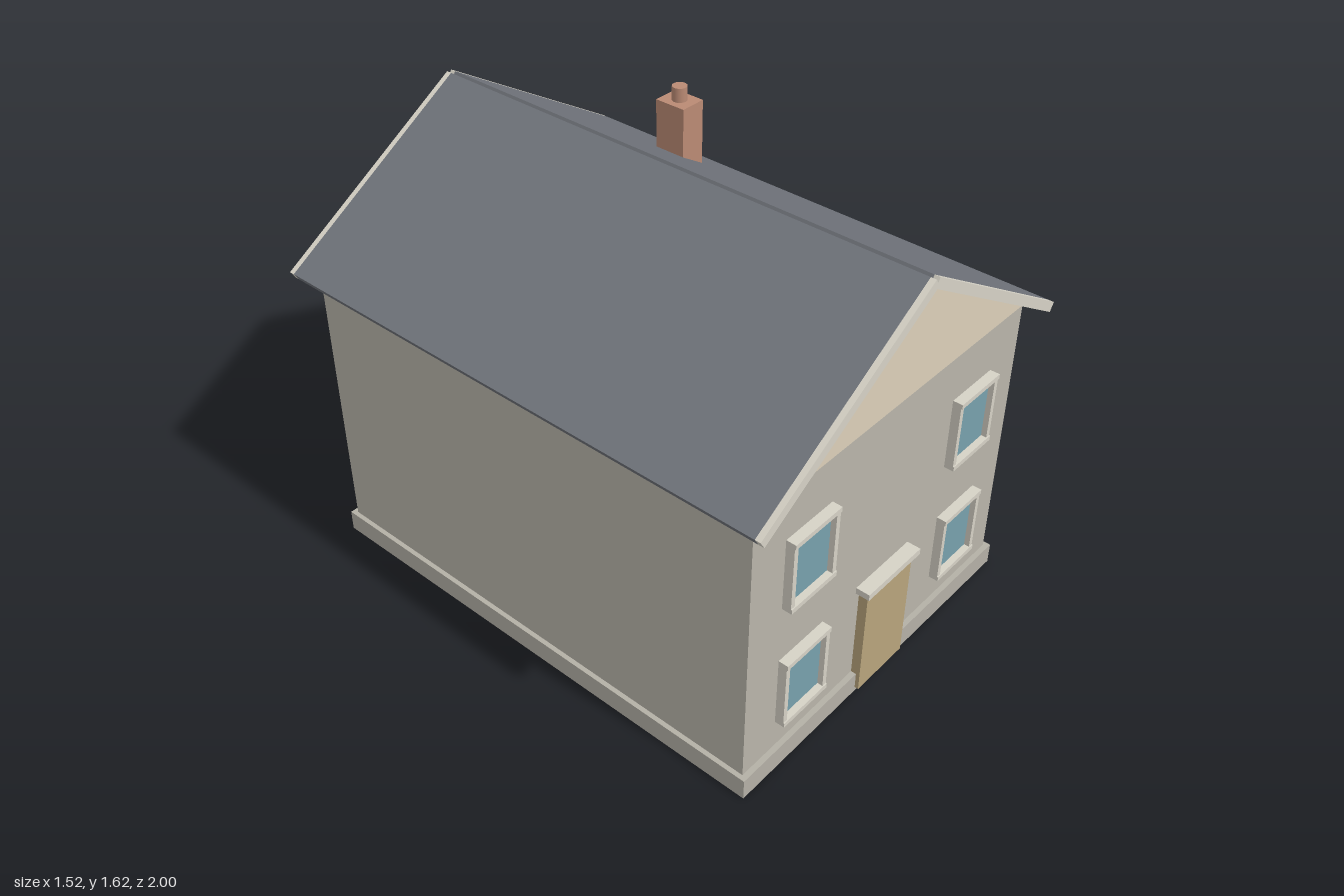
import * as THREE from 'three';

const mat = (color) => new THREE.MeshStandardMaterial({ color, flatShading: true });
const M = {
  wall: mat(0xb9b5aa), gable: mat(0xdccfb9), plinth: mat(0xb4b0a6), trim: mat(0xd6d2c6),
  glass: mat(0x78a0ac), door: mat(0xb8a47c), roof: mat(0x70747b), brick: mat(0xba8a74),
};

// Box given by its lower and upper corners
function box(name, material, [x0, y0, z0], [x1, y1, z1]) {
  const mesh = new THREE.Mesh(new THREE.BoxGeometry(x1 - x0, y1 - y0, z1 - z0), material);
  mesh.position.set((x0 + x1) / 2, (y0 + y1) / 2, (z0 + z1) / 2);
  mesh.name = name;
  return mesh;
}

// Outline in x,y drawn out between two z values
function prism(name, material, points, z0, z1) {
  const shape = new THREE.Shape(points.map(([x, y]) => new THREE.Vector2(x, y)));
  const geo = new THREE.ExtrudeGeometry(shape, { depth: z1 - z0, bevelEnabled: false });
  geo.translate(0, 0, z0);
  const mesh = new THREE.Mesh(geo, material);
  mesh.name = name;
  return mesh;
}

// Window centred on its origin, its back on z = 0, facing +z
function makeWindow(w, h, depth) {
  const g = new THREE.Group();
  const bar = 0.018, x = w / 2, y = h / 2;
  g.name = 'window';
  g.add(
    box('windowHead', M.trim, [-x, y - bar, -0.005], [x, y, depth]),
    box('windowSill', M.trim, [-x, -y, -0.005], [x, -y + bar, depth]),
    box('windowGlass', M.glass, [-x + bar, -y + bar, -0.005], [x - bar, y - bar, 0.012]),
  );
  for (const s of [-1, 1]) {
    const jamb = box('windowJamb', M.trim, [-bar / 2, -y + bar, -0.005], [bar / 2, y - bar, depth - 0.004]);
    jamb.position.x = s * (x - bar / 2);
    g.add(jamb);
  }
  return g;
}

// Four windows and a door for one gable end
function makeFacade(name) {
  const g = new THREE.Group();
  g.name = name;
  for (const x of [-0.43, 0.43]) {
    for (const y of [0.328, 0.82]) {
      const win = makeWindow(0.22, 0.272, 0.036);
      win.position.set(x, y, 0.925);
      g.add(win);
    }
  }
  g.add(
    box('door', M.door, [-0.123, 0.017, 0.9], [0.123, 0.453, 0.959]),
    box('doorLintel', M.trim, [-0.143, 0.453, 0.92], [0.143, 0.477, 0.976]),
  );
  return g;
}

export function createModel() {
  const house = new THREE.Group();
  house.name = 'house';

  // Body
  house.add(
    box('plinth', M.plinth, [-0.712, 0, -0.945], [0.712, 0.08, 0.945]),
    box('walls', M.wall, [-0.695, 0.04, -0.925], [0.695, 1.13, 0.925]),
    prism('gable', M.gable, [[-0.695, 1.13], [0.695, 1.13], [0, 1.57]], -0.925, 0.925),
  );

  // Two roof slabs meeting in a small notch, with verge boards at both ends
  for (const s of [-1, 1]) {
    const slope = [[-0.009, 1.573], [0.743, 1.113], [0.761, 1.143], [0.009, 1.603]];
    const outline = slope.map(([x, y]) => [s * x, y]);
    house.add(
      prism('roofSlope', M.roof, outline, -0.98, 0.98),
      prism('frontVergeBoard', M.trim, outline, 0.98, 1),
      prism('backVergeBoard', M.trim, outline, -1, -0.98),
    );
  }

  // Gable-end facades
  const back = makeFacade('backFacade');
  back.rotation.y = Math.PI;
  house.add(makeFacade('frontFacade'), back);

  // Windows on one long side only
  for (const z of [-0.415, 0.415]) {
    const win = makeWindow(0.22, 0.272, 0.028);
    win.position.set(0.695, 0.403, z);
    win.rotation.y = Math.PI / 2;
    house.add(win);
  }

  // Chimney
  house.add(box('chimney', M.brick, [0.364, 1.31, -0.367], [0.465, 1.565, -0.245]));
  const pot = new THREE.Mesh(new THREE.CylinderGeometry(0.027, 0.027, 0.06, 24),
    new THREE.MeshStandardMaterial({ color: 0xba8a74 }));
  pot.name = 'chimneyPot';
  pot.position.set(0.415, 1.587, -0.306);
  house.add(pot);

  return house;
}
